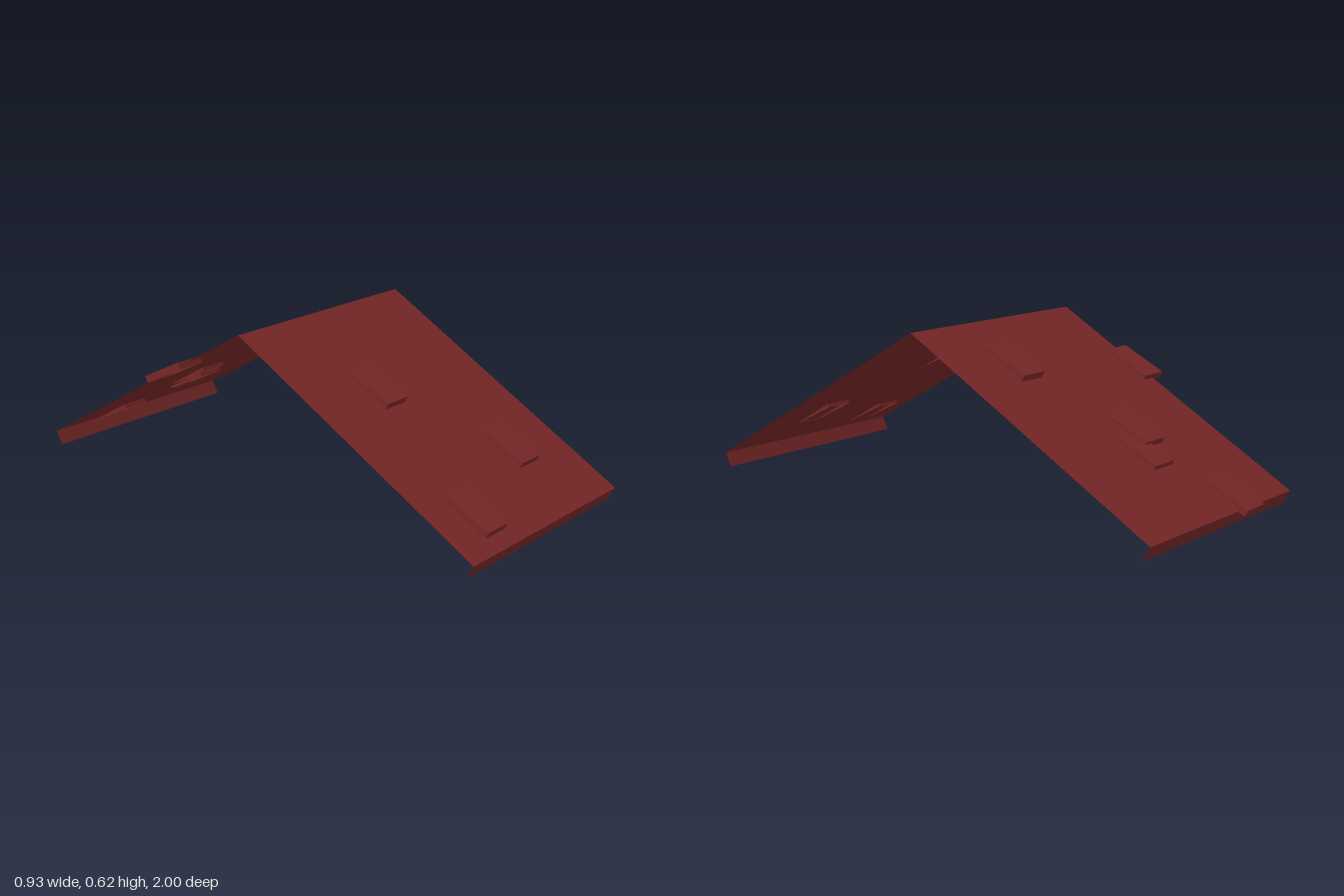
import * as THREE from 'three';

const X0 = -0.415, X1 = 0.463; // gable ends of the roof
const RIDGE_Z = 0.0125, RIDGE_Y = 0.615, RUN = 0.9875, EAVE_Y = 0.05, LIP_IN = 0.028;

// Open sheet swept along x through a list of [z, y] points
function sheet(profile) {
  const pos = [];
  for (let i = 0; i < profile.length - 1; i++) {
    const [z0, y0] = profile[i], [z1, y1] = profile[i + 1];
    pos.push(X0, y0, z0, X0, y1, z1, X1, y1, z1);
    pos.push(X0, y0, z0, X1, y1, z1, X1, y0, z0);
  }
  const g = new THREE.BufferGeometry();
  g.setAttribute('position', new THREE.Float32BufferAttribute(pos, 3));
  g.computeVertexNormals();
  return g;
}

// Shallow box without its bottom face
function shingleGeometry() {
  const g = new THREE.BoxGeometry(0.11, 0.025, 0.187);
  const idx = Array.from(g.index.array).filter((_, i) => i < 18 || i >= 24);
  g.setIndex(idx);
  g.clearGroups();
  return g;
}

export function createModel() {
  const model = new THREE.Group();
  model.name = 'gableRoof';
  const red = new THREE.MeshStandardMaterial({ color: 0x7a2828, side: THREE.DoubleSide, flatShading: true });
  red.name = 'roofRed';

  // Two slopes meeting at the ridge, each with a folded eave lip
  const front = RIDGE_Z + RUN, back = RIDGE_Z - RUN;
  const roof = new THREE.Mesh(sheet([
    [back + LIP_IN, 0], [back, EAVE_Y], [RIDGE_Z, RIDGE_Y], [front, EAVE_Y], [front - LIP_IN, 0],
  ]), red);
  roof.name = 'roofSheet';
  model.add(roof);

  // Loose shingles: centre x, y, z; tilted down towards the nearer eave
  const geo = shingleGeometry();
  [
    [-0.087, 0.425, 0.36], [0.205, 0.215, 0.72], [-0.217, 0.133, 0.867],
    [0.17, 0.5, -0.205], [-0.412, 0.431, -0.31], [-0.03, 0.284, -0.573],
    [0.042, 0.23, -0.66], [-0.128, 0.085, -0.914],
  ].forEach(([x, y, z], i) => {
    const shingle = new THREE.Mesh(geo, red);
    shingle.name = `shingle${i + 1}`;
    shingle.position.set(x, y, z);
    shingle.rotation.x = 0.46 * Math.sign(z);
    model.add(shingle);
  });
  return model;
}
